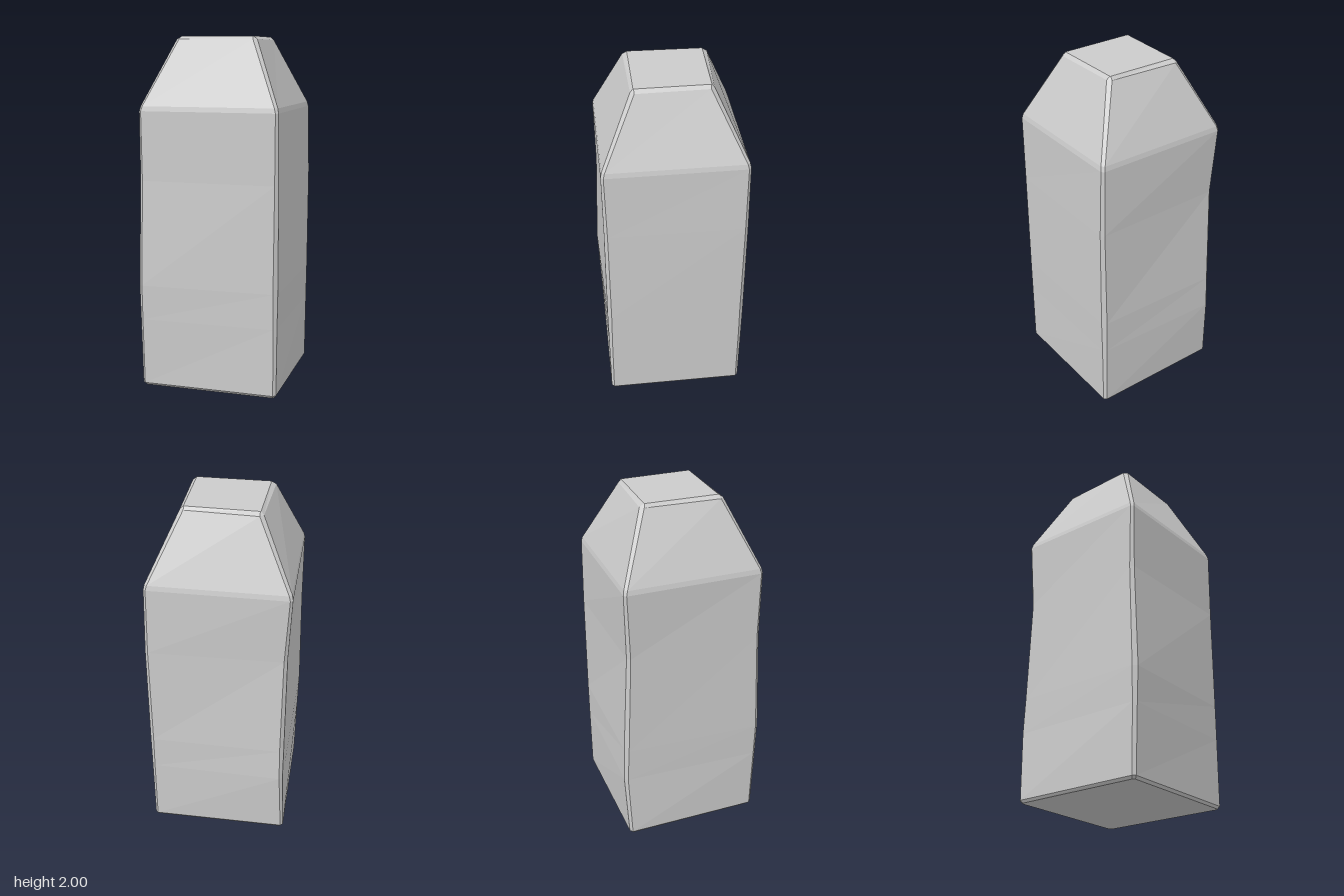
import * as THREE from 'three';

// Each ring: height, corner chamfer, then the four corners (x, z):
// front +x, back +x, back -x, front -x
const RINGS = [
  [0.0, 0.012, [0.385, 0.385], [0.385, -0.385], [-0.385, -0.385], [-0.385, 0.385]],
  [0.015, 0.015, [0.396, 0.396], [0.396, -0.396], [-0.396, -0.396], [-0.398, 0.398]],
  [0.4, 0.018, [0.398, 0.397], [0.4, -0.4], [-0.383, -0.416], [-0.404, 0.41]],
  [0.6, 0.022, [0.4, 0.398], [0.403, -0.402], [-0.383, -0.41], [-0.408, 0.417]],
  [1.2, 0.018, [0.399, 0.394], [0.406, -0.4], [-0.382, -0.383], [-0.4, 0.394]],
  [1.59, 0.014, [0.396, 0.396], [0.397, -0.397], [-0.399, -0.398], [-0.399, 0.397]],
  [1.617, 0.015, [0.39, 0.39], [0.391, -0.391], [-0.393, -0.392], [-0.393, 0.391]],
  [1.983, 0.02, [0.228, 0.218], [0.223, -0.218], [-0.219, -0.238], [-0.238, 0.225]],
  [2.0, 0.003, [0.206, 0.202], [0.204, -0.203], [-0.202, -0.212], [-0.212, 0.2]],
];

// Eight-sided cross-section with clipped corners
function ringPoints([y, c, ...corners]) {
  const points = [];
  corners.forEach(([x, z], i) => {
    const pair = [[x - Math.sign(x) * c, y, z], [x, y, z - Math.sign(z) * c]];
    if (i % 2) pair.reverse();
    points.push(...pair);
  });
  return points;
}

function loft(rings) {
  const n = 8;
  const positions = rings.flatMap(ringPoints).flat();
  const index = [];
  for (let r = 0; r < rings.length - 1; r++) {
    for (let i = 0; i < n; i++) {
      const a = r * n + i, b = r * n + (i + 1) % n;
      index.push(a, b, b + n, a, b + n, a + n);
    }
  }
  // Flat caps below and on top
  const top = (rings.length - 1) * n;
  for (let i = 1; i < n - 1; i++) {
    index.push(0, i + 1, i, top, top + i, top + i + 1);
  }
  const geometry = new THREE.BufferGeometry();
  geometry.setAttribute('position', new THREE.Float32BufferAttribute(positions, 3));
  geometry.setIndex(index);
  const flat = geometry.toNonIndexed();
  flat.computeVertexNormals();
  return flat;
}

export function createModel() {
  const group = new THREE.Group();
  group.name = 'stonePost';
  const material = new THREE.MeshStandardMaterial({ color: 0xcccccc, flatShading: true });
  // Uneven square post with bevelled edges and a tapered top
  const post = new THREE.Mesh(loft(RINGS), material);
  post.name = 'post';
  group.add(post);
  return group;
}
